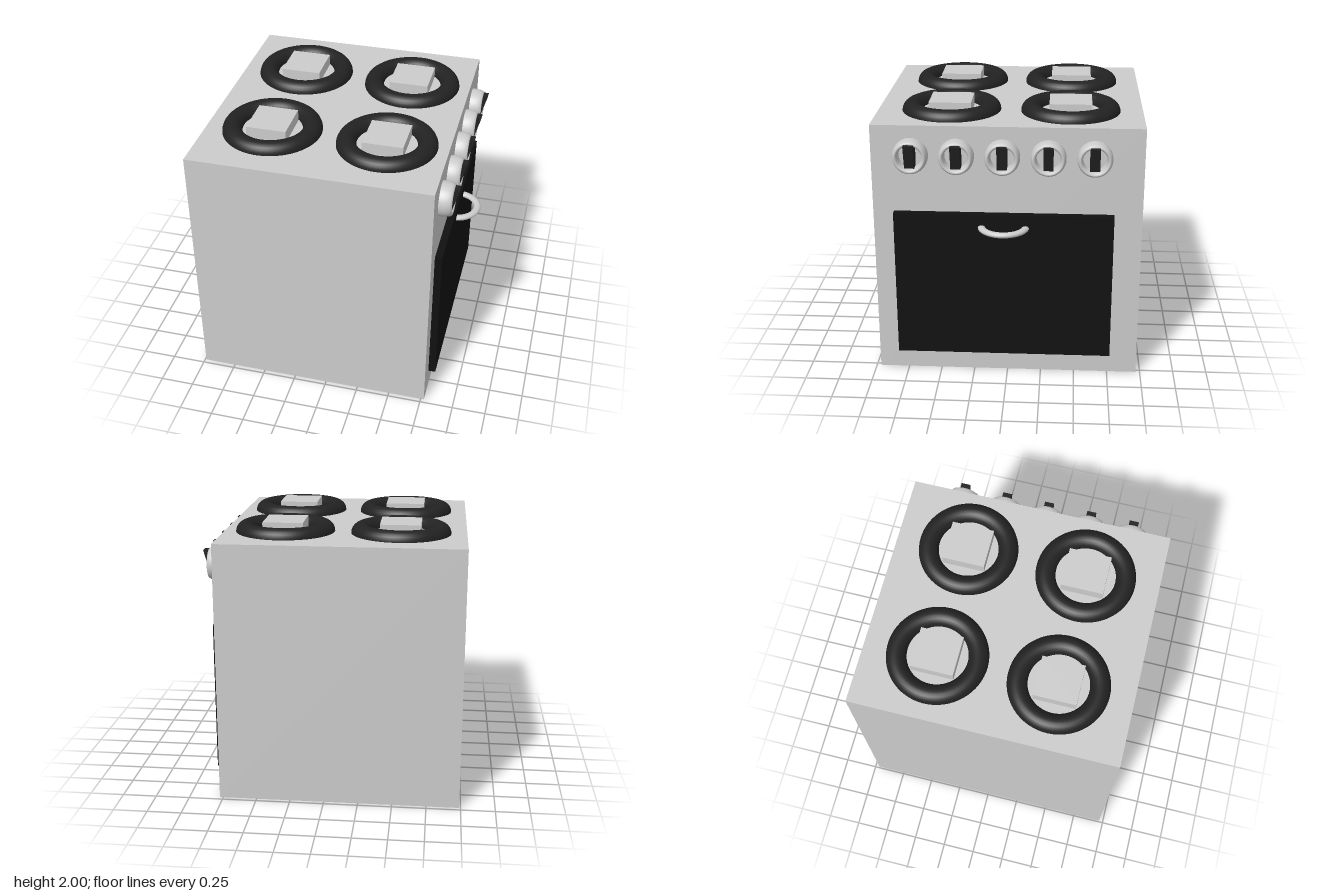
import * as THREE from 'three';

const grey = new THREE.MeshStandardMaterial({ color: 0xcccccc });
const greyOpen = new THREE.MeshStandardMaterial({ color: 0xcccccc, side: THREE.DoubleSide });
const black = new THREE.MeshStandardMaterial({ color: 0x222222 });
const doorBlack = new THREE.MeshStandardMaterial({ color: 0x111111 });

const FRONT = 0.775; // x of the panel that carries the knobs and door
const TOP = 1.915;

export function createModel() {
  const group = new THREE.Group();

  const add = (name, geometry, material, x, y, z, parent = group) => {
    const mesh = new THREE.Mesh(geometry, material);
    mesh.name = name;
    mesh.position.set(x, y, z);
    parent.add(mesh);
    return mesh;
  };

  // Box given by its extents
  const box = (name, material, x0, x1, y0, y1, z0, z1) =>
    add(name, new THREE.BoxGeometry(x1 - x0, y1 - y0, z1 - z0), material,
      (x0 + x1) / 2, (y0 + y1) / 2, (z0 + z1) / 2);

  box('body', grey, -0.99, FRONT, 0, TOP, -0.968, 0.968);
  box('ovenDoor', doorBlack, FRONT, 0.828, 0.16, 1.275, -0.765, 0.817);

  // Burners: half-sunk ring around a square plate
  const ring = new THREE.TorusGeometry(0.29, 0.0725, 24, 64).rotateX(Math.PI / 2);
  for (const x of [-0.513, 0.332]) {
    for (const z of [-0.44, 0.432]) {
      add('burnerRing', ring, black, x, TOP, z);
      box('burnerPlate', grey, x - 0.147, x + 0.147, TOP, 2, z - 0.154, z + 0.154);
    }
  }

  // Knobs: rounded hollow collar turned about x, with a wedge-shaped grip
  const profile = [
    [0.125, 0], [0.126, 0.03], [0.124, 0.055], [0.118, 0.078], [0.11, 0.09], [0.103, 0.093],
    [0.095, 0.089], [0.088, 0.075], [0.085, 0.05], [0.085, 0],
  ].map(([r, h]) => new THREE.Vector2(r, h));
  const collar = new THREE.LatheGeometry(profile, 40).rotateZ(-Math.PI / 2);
  const gripShape = new THREE.Shape([
    [0, -0.075], [0.083, -0.075], [0.13, 0.1], [0.07, 0.1], [0.05, 0.07], [0, 0.07],
  ].map(([x, y]) => new THREE.Vector2(x, y)));
  const grip = new THREE.ExtrudeGeometry(gripShape, { depth: 0.07, bevelEnabled: false })
    .translate(0, 0, -0.035);
  for (let i = 0; i < 5; i++) {
    const knob = new THREE.Group();
    knob.name = 'knob';
    knob.position.set(FRONT, 1.7, 0.683 - i * 0.325);
    add('knobCollar', collar, greyOpen, 0, 0, 0, knob);
    add('knobGrip', grip, black, 0, 0, 0, knob);
    group.add(knob);
  }

  // Door handle: slightly flattened half ring
  const handle = new THREE.TorusGeometry(0.16, 0.027, 16, 40, Math.PI)
    .rotateZ(-Math.PI / 2).rotateX(Math.PI / 2).scale(1, 0.75, 1);
  add('doorHandle', handle, grey, 0.798, 1.175, 0.025);

  return group;
}
